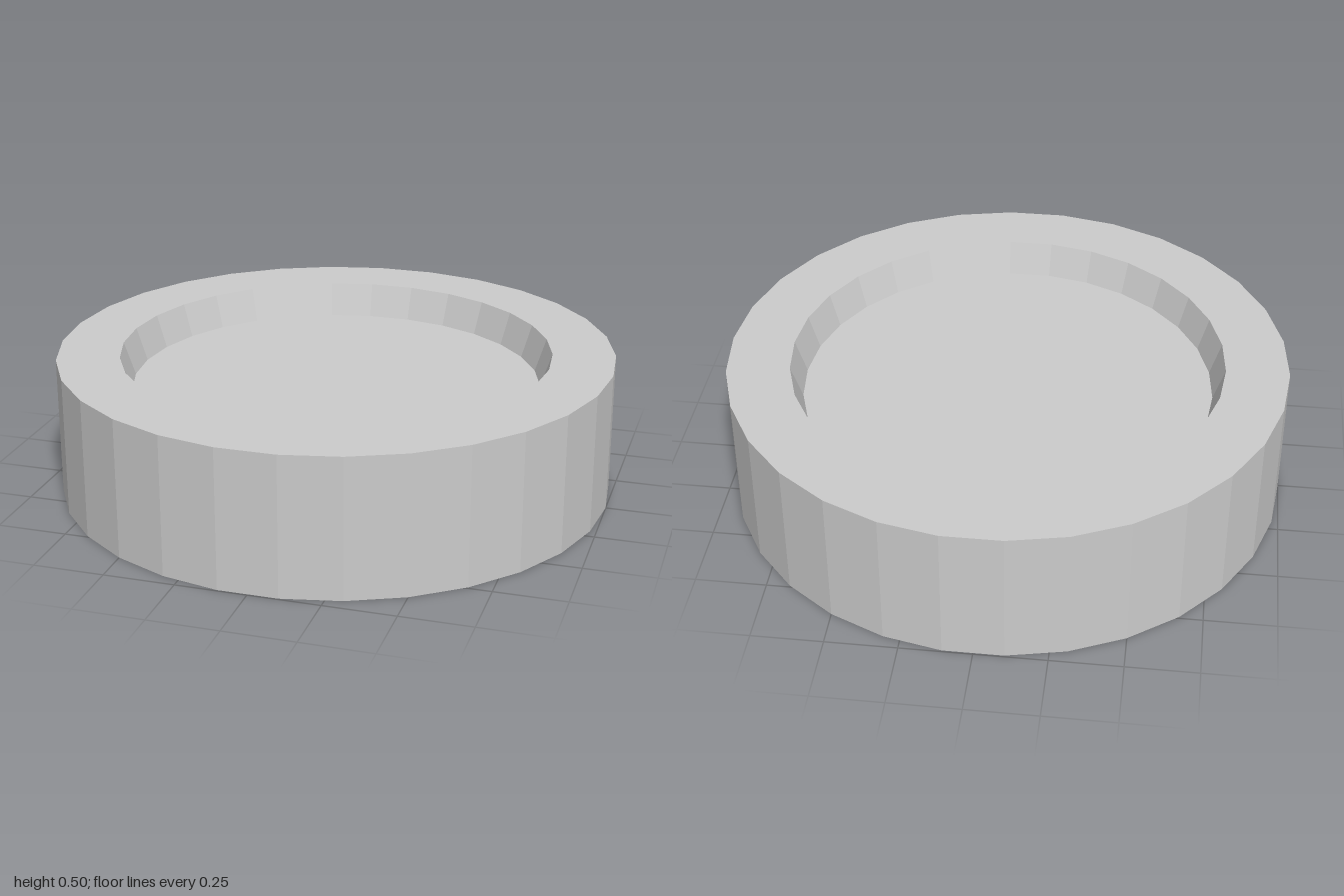
import * as THREE from 'three';

const SIDES = 30;
const HEIGHT = 0.5;
const RECESS_DEPTH = 0.12;
const OUTER_RADIUS = 1;
const RECESS_RADIUS = 0.775; // at the rim
const FLOOR_RADIUS = 0.735;  // recess walls taper inward to the floor

export function createModel() {
  const group = new THREE.Group();
  group.name = 'recessedDisc';

  // Half section, from the underside floor round the rim to the top floor
  const profile = [
    [0, RECESS_DEPTH],
    [FLOOR_RADIUS, RECESS_DEPTH],
    [RECESS_RADIUS, 0],
    [OUTER_RADIUS, 0],
    [OUTER_RADIUS, HEIGHT],
    [RECESS_RADIUS, HEIGHT],
    [FLOOR_RADIUS, HEIGHT - RECESS_DEPTH],
    [0, HEIGHT - RECESS_DEPTH],
  ].map(([r, y]) => new THREE.Vector2(r, y));

  // Faceted disc with a shallow recess in both faces; a corner lies on the x axis
  const disc = new THREE.Mesh(
    new THREE.LatheGeometry(profile, SIDES, Math.PI / 2),
    new THREE.MeshStandardMaterial({ color: 0xcccccc, flatShading: true })
  );
  disc.name = 'disc';
  group.add(disc);

  return group;
}
